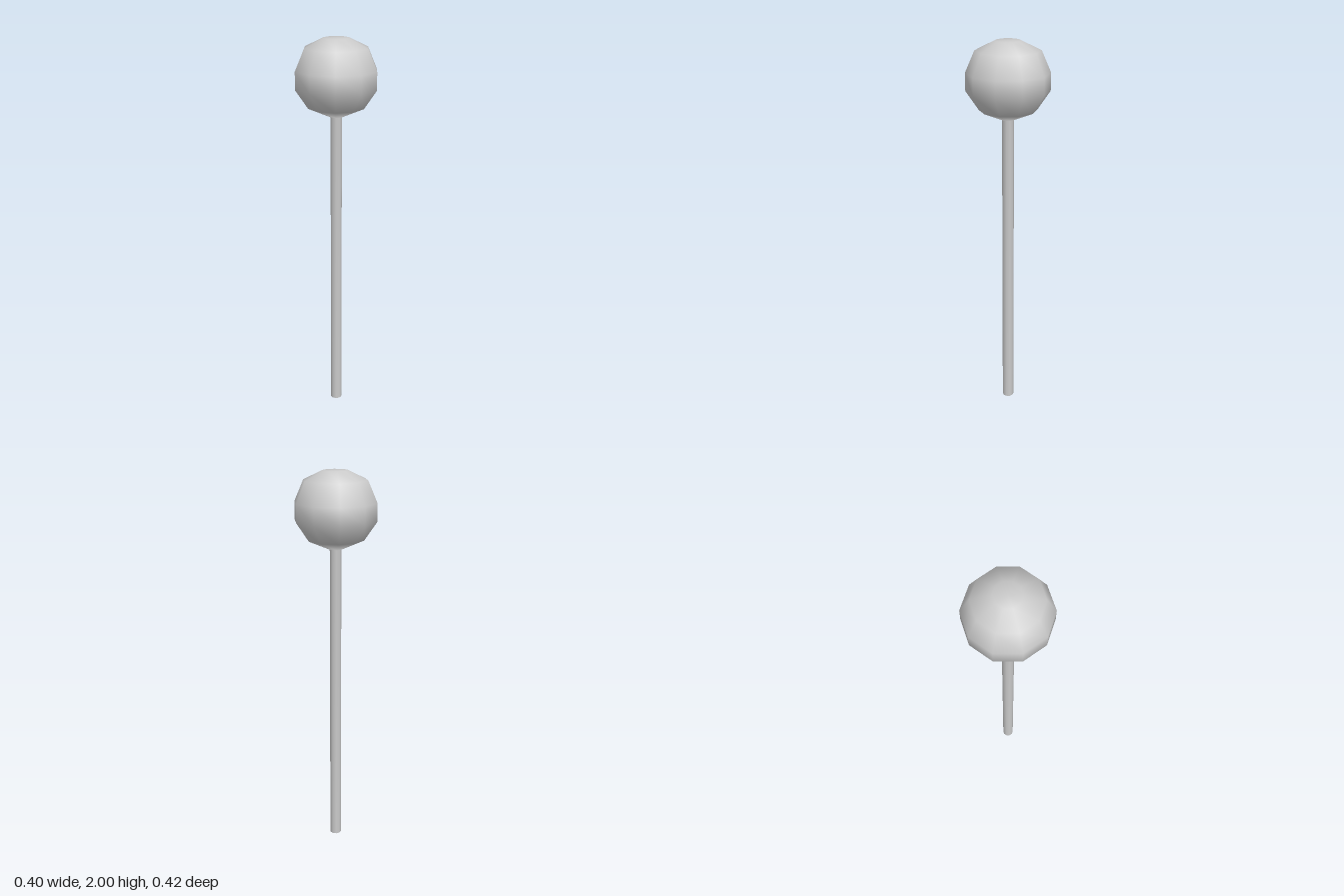
import * as THREE from 'three';

const SIDES = 10;

// Half profile as [radius, height], from the foot up to the crown
const PROFILE = [
  [0, 0], [0.03, 0],                  // foot of the stem
  [0.03, 1.61],                       // stem meets the head
  [0.145, 1.66], [0.21, 1.755],       // underside of the head
  [0.21, 1.845], [0.163, 1.953],      // widest band and shoulder
  [0.065, 2], [0, 2],                 // flat crown
];

export function createModel() {
  const group = new THREE.Group();
  group.name = 'ballOnStem';

  // One smooth turned piece, so the shading flows from stem to head
  const points = PROFILE.map(([r, y]) => new THREE.Vector2(r, y));
  const body = new THREE.Mesh(
    new THREE.LatheGeometry(points, SIDES),
    new THREE.MeshStandardMaterial({ color: 0xcccccc }),
  );
  body.name = 'stemAndRoundHead';
  group.add(body);

  return group;
}
